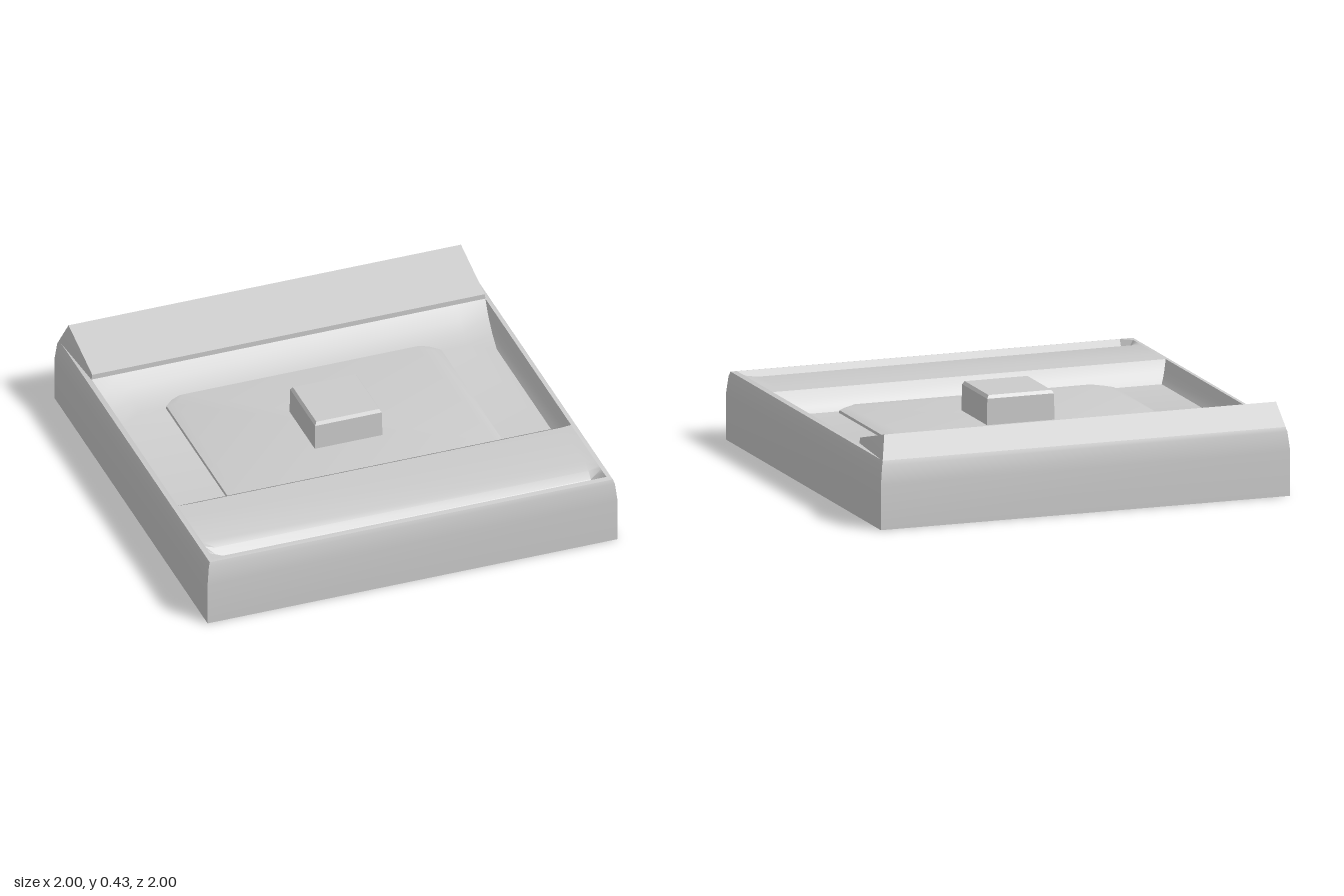
import * as THREE from 'three';
import { toCreasedNormals } from 'three/addons/utils/BufferGeometryUtils.js';

// Skin a list of equally long cross-sections (arrays of [x, y, z]).
function loft(name, sections, { closed = true, capStart = false, capEnd = false, crease = 0.6 } = {}) {
  const pos = [];
  const tri = (a, b, c) => pos.push(...a, ...b, ...c);
  const n = sections[0].length;
  for (let i = 0; i < sections.length - 1; i++) {
    const p = sections[i], q = sections[i + 1];
    for (let j = 0; j < (closed ? n : n - 1); j++) {
      const k = (j + 1) % n;
      tri(p[j], p[k], q[k]);
      tri(p[j], q[k], q[j]);
    }
  }
  const first = sections[0], last = sections[sections.length - 1];
  for (let j = 1; j < n - 1; j++) {
    if (capStart) tri(first[0], first[j + 1], first[j]);
    if (capEnd) tri(last[0], last[j], last[j + 1]);
  }
  const geo = new THREE.BufferGeometry();
  geo.setAttribute('position', new THREE.Float32BufferAttribute(pos, 3));
  geo.computeVertexNormals();
  const mesh = new THREE.Mesh(
    toCreasedNormals(geo, crease),
    new THREE.MeshStandardMaterial({ color: 0xcccccc, side: THREE.DoubleSide })
  );
  mesh.name = name;
  return mesh;
}

// Horizontal square ring.
const square = (h, y) => [[h, y, h], [h, y, -h], [-h, y, -h], [-h, y, h]];

// Horizontal rectangle with cut corners.
const cutRect = (x, z0, z1, c, y) => [
  [x, y, z1 - c], [x, y, z0 + c], [x - c, y, z0], [c - x, y, z0],
  [-x, y, z0 + c], [-x, y, z1 - c], [c - x, y, z1], [x - c, y, z1],
];

// Horizontal basin ring: straight sides, back edge cut at its two corners.
const basinRing = (x, front, side, xb, back, y) => [
  [x, y, front], [x, y, side], [xb, y, back],
  [-xb, y, back], [-x, y, side], [-x, y, front],
];

export function createModel() {
  const model = new THREE.Group();

  // Outer block with tapered top and thin rim
  model.add(loft('base', [
    square(1, 0), square(1, 0.21), square(0.99, 0.3), square(0.983, 0.32), square(0.96, 0.325),
  ], { capStart: true }));

  // Sunken basin: steep sides, long curved slope at the back
  model.add(loft('basin', [
    basinRing(0.96, 0.5, -0.62, 0.82, -0.62, 0.325),
    basinRing(0.945, 0.477, -0.54, 0.81, -0.555, 0.28),
    basinRing(0.93, 0.455, -0.45, 0.805, -0.49, 0.248),
    basinRing(0.915, 0.433, -0.35, 0.8, -0.425, 0.225),
  ], { capEnd: true }));

  // Low raised floor plate with softened edge
  model.add(loft('floorPlate', [
    cutRect(0.675, -0.48, 0.465, 0.06, 0.215),
    cutRect(0.67, -0.48, 0.465, 0.06, 0.237),
    cutRect(0.63, -0.47, 0.46, 0.06, 0.247),
  ], { capEnd: true }));

  // Front shelf rolling down into a narrow trough behind the front rim
  const shelf = [[0.5, 0.322], [0.6, 0.325], [0.82, 0.325], [0.86, 0.308], [0.89, 0.28], [0.92, 0.24], [0.96, 0.325]];
  const shelfAt = (x, depth) => shelf.map(([z, y]) => [x, 0.325 + (y - 0.325) * depth, z]);
  model.add(loft('frontShelf', [
    shelfAt(-0.96, 0), shelfAt(-0.91, 1), shelfAt(0.91, 1), shelfAt(0.96, 0),
  ], { closed: false }));

  // Back wedge with flared ends
  const wedgeEnd = (s) => [
    [s * 0.985, 0.318, -0.983], [s * 0.957, 0.43, -0.93],
    [s * 0.957, 0.35, -0.62], [s * 0.962, 0.32, -0.62],
  ];
  model.add(loft('backWedge', [wedgeEnd(-1), wedgeEnd(1)], { capStart: true, capEnd: true, crease: 0.2 }));

  // Centre button with bevelled top
  model.add(loft('centreButton', [
    square(0.165, 0.235), square(0.163, 0.37), square(0.153, 0.385),
  ], { capStart: true, capEnd: true, crease: 0.4 }));

  return model;
}
